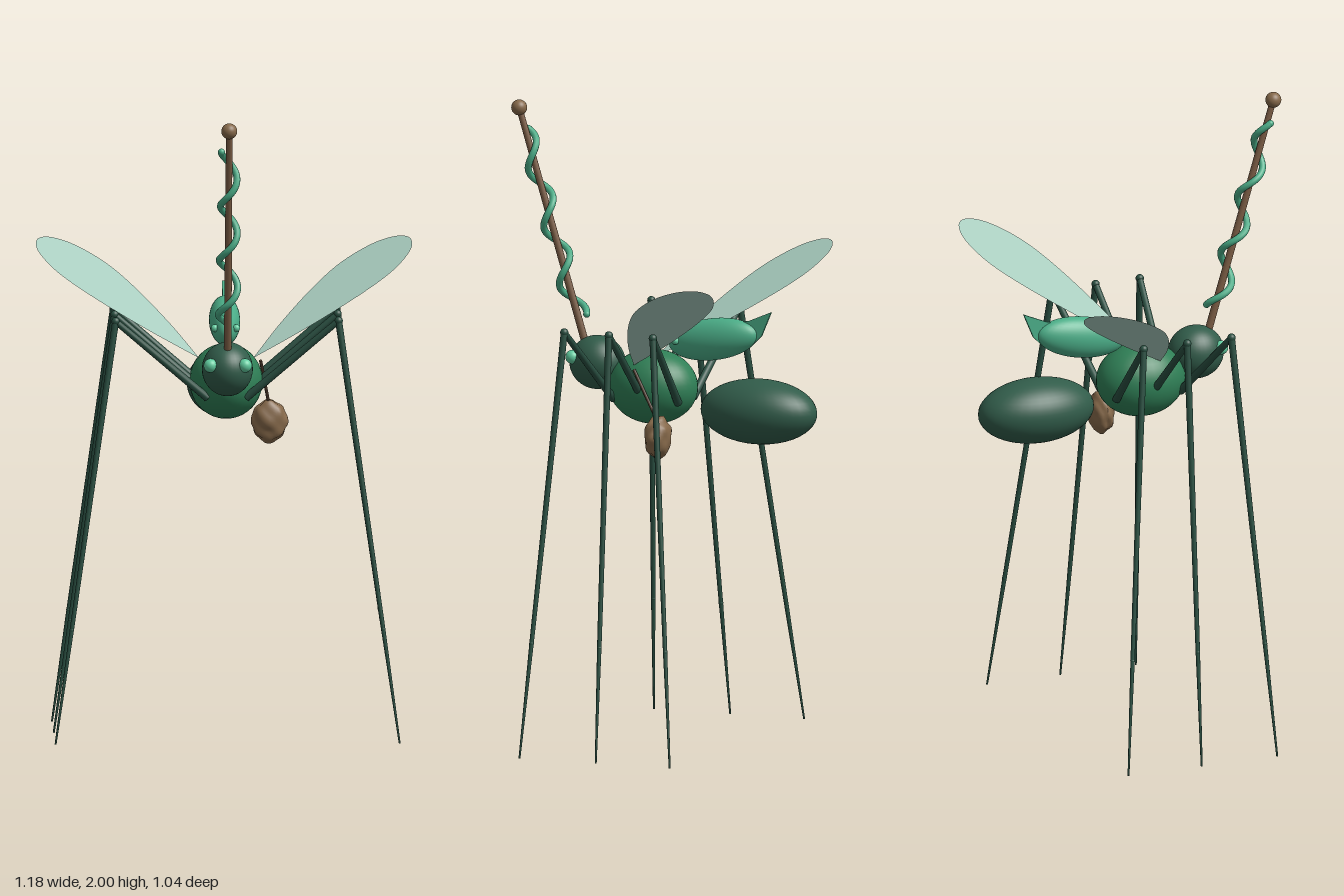
import * as THREE from 'three';

const V = (x, y, z) => new THREE.Vector3(x, y, z);
const mat = (name, color, side = THREE.FrontSide) => {
  const m = new THREE.MeshStandardMaterial({ color, side });
  m.name = name;
  return m;
};

export function createModel() {
  const model = new THREE.Group();
  model.name = 'insect';

  const thoraxGreen = mat('thorax green', 0x2f7f56);
  const darkGreen = mat('dark green', 0x315c4a);
  const legGreen = mat('leg green', 0x2a5042);
  const mint = mat('mint green', 0x4bae88, THREE.DoubleSide);
  const eyeMint = mat('eye mint', 0x62cda0);
  const wingPale = mat('wing pale green', 0xa9cdbf, THREE.DoubleSide);
  const wood = mat('wood brown', 0x7a5c44);
  const tan = mat('tan brown', 0x86694a);
  const cordBrown = mat('cord brown', 0x4f3a2c);

  const add = (name, geo, material, parent = model) => {
    const mesh = new THREE.Mesh(geo, material);
    mesh.name = name;
    parent.add(mesh);
    return mesh;
  };
  const ball = (name, c, r, material, parent = model) => {
    const mesh = add(name, new THREE.SphereGeometry(1, 36, 24), material, parent);
    mesh.position.set(...c);
    mesh.scale.set(...(Array.isArray(r) ? r : [r, r, r]));
    return mesh;
  };
  // Tapered rod from a (radius ra) to b (radius rb)
  const rod = (name, a, b, ra, rb, material, parent = model) => {
    const d = b.clone().sub(a);
    const mesh = add(name, new THREE.CylinderGeometry(rb, ra, d.length(), 12), material, parent);
    mesh.position.copy(a).addScaledVector(d, 0.5);
    mesh.quaternion.setFromUnitVectors(V(0, 1, 0), d.normalize());
    return mesh;
  };

  // Body
  ball('thorax', [0, 1.118, 0.035], [0.115, 0.118, 0.145], thoraxGreen);
  ball('abdomen', [0, 1.06, -0.325], [0.115, 0.103, 0.193], darkGreen);
  ball('head', [0, 1.183, 0.225], [0.08, 0.085, 0.09], darkGreen);
  for (const s of [1, -1]) ball('eye', [s * 0.054, 1.203, 0.288], 0.022, eyeMint);

  // Upright staff-like proboscis with a knob
  const staffBase = V(0, 1.22, 0.26), staffTip = V(0, 1.975, 0.492);
  rod('proboscis', staffBase, staffTip, 0.012, 0.01, wood);
  ball('proboscisKnob', staffTip.toArray(), 0.025, tan);

  // Vine winding round the proboscis
  const axis = staffTip.clone().sub(staffBase).normalize();
  const side = V(1, 0, 0), back = V(0, 1, 0).cross(side).addScaledVector(axis, 0);
  back.addScaledVector(axis, -back.dot(axis)).normalize(); // points to -z
  const vinePoints = [];
  for (let i = 0; i <= 80; i++) {
    const t = i / 80, a = t * Math.PI * 6.5, r = 0.031 - 0.007 * t;
    vinePoints.push(staffBase.clone().addScaledVector(axis, 0.108 + t * 0.61)
      .addScaledVector(side, -r * Math.sin(a))
      .addScaledVector(back, r * Math.cos(a)));
  }
  const vine = new THREE.CatmullRomCurve3(vinePoints);
  add('vine', new THREE.TubeGeometry(vine, 200, 0.011, 10), mint);
  for (const p of [vinePoints[0], vinePoints[80]]) ball('vineEnd', p.toArray(), 0.011, mint);

  // Legs: hip z, knee z, foot z
  const legRows = { front: [0.145, 0.19, 0.262], middle: [0.043, 0.038, 0.002], rear: [-0.075, -0.112, -0.25] };
  for (const [row, [hz, kz, fz]] of Object.entries(legRows)) {
    for (const s of [1, -1]) {
      const leg = new THREE.Group();
      leg.name = row + 'Leg';
      model.add(leg);
      const hip = V(s * 0.06, 1.08, hz), knee = V(s * 0.35, 1.33, kz), foot = V(s * 0.54, 0, fz);
      const ankle = knee.clone().lerp(foot, 0.73);
      rod('thigh', hip, knee, 0.013, 0.01, legGreen, leg);
      ball('knee', knee.toArray(), 0.013, legGreen, leg);
      rod('shin', knee, ankle, 0.011, 0.007, legGreen, leg);
      ball('ankle', ankle.toArray(), 0.0075, legGreen, leg);
      rod('tarsus', ankle, foot, 0.007, 0.003, legGreen, leg);
    }
  }

  // Wings: flat teardrops rising outward and backward
  const outline = [[0.17, 0.06], [0.34, 0.105], [0.475, 0.126], [0.565, 0.12], [0.645, 0.09], [0.69, 0.045]];
  const wingShape = new THREE.Shape();
  wingShape.moveTo(0, 0);
  wingShape.splineThru([...outline, [0.703, 0], ...outline.slice().reverse().map(([u, w]) => [u, -w]), [0, 0]]
    .map(([u, w]) => new THREE.Vector2(u, w)));
  for (const s of [1, -1]) {
    const geo = new THREE.ShapeGeometry(wingShape, 10);
    const along = V(s * 0.78 * 0.883, 0.469, -0.625 * 0.883);
    const across = V(0.625, 0, s * 0.78);
    const normal = along.clone().cross(across).normalize();
    if (normal.y < 0) { across.negate(); normal.negate(); }
    const frame = new THREE.Matrix4().makeBasis(along, across, normal);
    frame.setPosition(s * 0.085, 1.195, 0.065);
    add(s > 0 ? 'leftWing' : 'rightWing', geo.applyMatrix4(frame), wingPale);
  }

  // Small rider with a tail fin on the back
  const rider = new THREE.Group();
  rider.name = 'rider';
  rider.position.set(0, 1.28, -0.17);
  rider.rotation.x = 0.17;
  model.add(rider);
  ball('riderBody', [0, 0, 0], [0.049, 0.066, 0.152], mint, rider);
  for (const s of [1, -1]) ball('riderEye', [s * 0.034, 0.012, 0.115], 0.012, eyeMint, rider);
  const fin = new THREE.Shape([[0.23, 1.335], [0.29, 1.345], [0.368, 1.378], [0.335, 1.3], [0.3, 1.265]]
    .map(([z, y]) => new THREE.Vector2(z, y)));
  const finGeo = new THREE.ExtrudeGeometry(fin, { depth: 0.008, bevelEnabled: false });
  finGeo.translate(0, 0, -0.004).rotateY(Math.PI / 2);
  add('riderTailFin', finGeo, mint);

  // Lumpy pouch hanging on a cord at the left side
  const pouchGeo = new THREE.SphereGeometry(1, 32, 24);
  const pos = pouchGeo.attributes.position;
  const p = V(0, 0, 0);
  for (let i = 0; i < pos.count; i++) {
    p.fromBufferAttribute(pos, i);
    p.multiplyScalar(1 + 0.05 * Math.sin(6 * p.x + 2) * Math.cos(7 * p.y) + 0.04 * Math.sin(8 * p.z + 5 * p.y));
    pos.setXYZ(i, p.x, p.y, p.z);
  }
  pouchGeo.scale(0.056, 0.067, 0.04);
  pouchGeo.computeVertexNormals();
  add('pouch', pouchGeo, tan).position.set(0.138, 0.98, -0.04);
  rod('pouchCord', V(0.108, 1.185, 0.055), V(0.136, 1.035, -0.035), 0.005, 0.005, cordBrown);

  return model;
}
